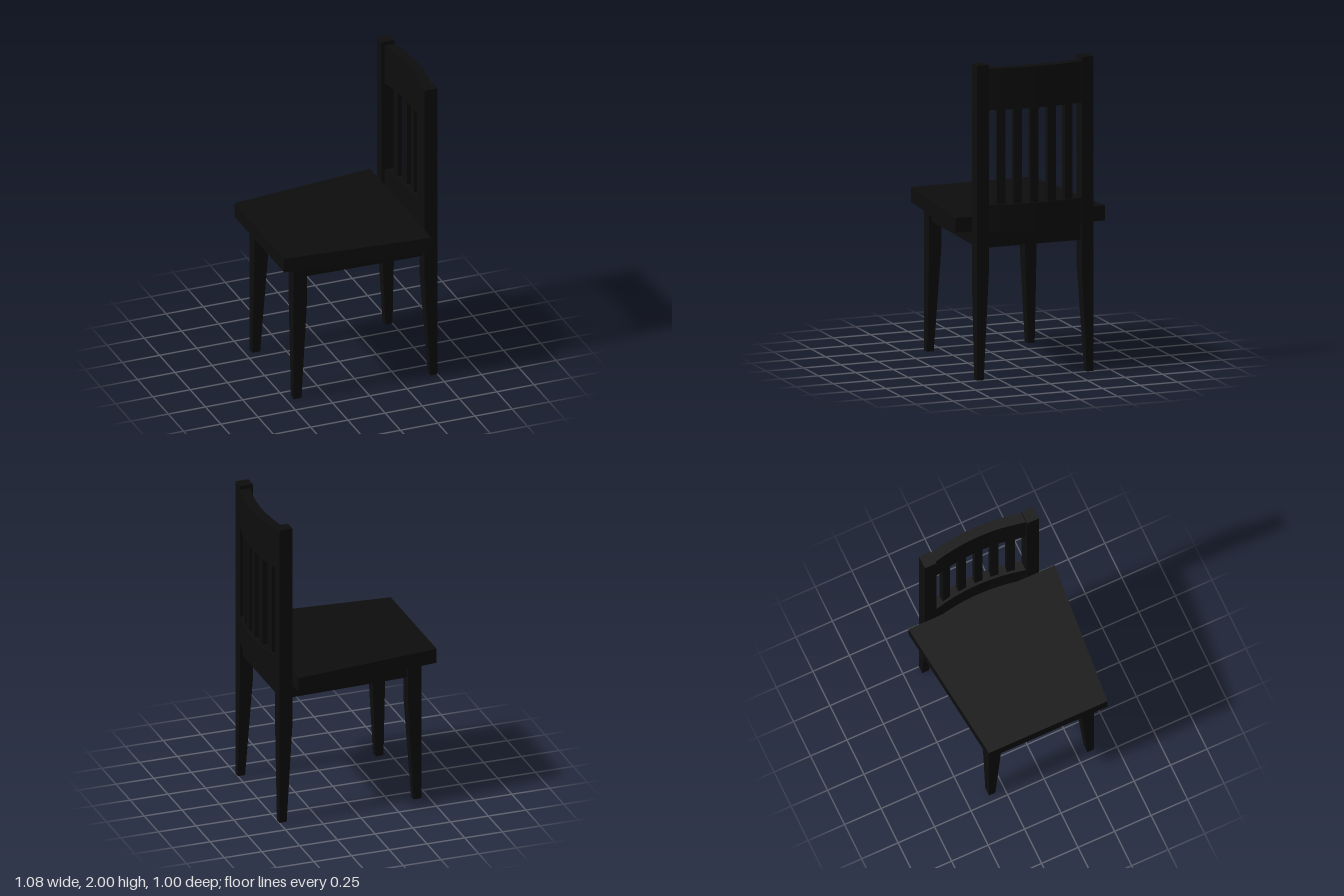
import * as THREE from 'three';

const material = new THREE.MeshStandardMaterial({ color: 0x0d0d0d });

function part(name, geometry) {
  const mesh = new THREE.Mesh(geometry, material);
  mesh.name = name;
  return mesh;
}

// Upright slab from a plan outline of [x, z] points
function slab(plan, y0, y1) {
  const shape = new THREE.Shape(plan.map(([x, z]) => new THREE.Vector2(x, -z)));
  const geometry = new THREE.ExtrudeGeometry(shape, { depth: y1 - y0, bevelEnabled: false });
  geometry.rotateX(-Math.PI / 2);
  geometry.translate(0, y0, 0);
  return geometry;
}

// Square-section post lofted through rectangles [y, xA, xB, zA, zB]
function post(sections) {
  const rings = sections.map(([y, xA, xB, zA, zB]) => {
    const x0 = Math.min(xA, xB), x1 = Math.max(xA, xB);
    const z0 = Math.min(zA, zB), z1 = Math.max(zA, zB);
    return [[x0, y, z0], [x0, y, z1], [x1, y, z1], [x1, y, z0]];
  });
  const pos = [];
  const quad = (a, b, c, d) => pos.push(...a, ...b, ...c, ...a, ...c, ...d);
  for (let r = 0; r + 1 < rings.length; r++) {
    const lo = rings[r], hi = rings[r + 1];
    for (let i = 0; i < 4; i++) {
      const j = (i + 1) % 4;
      quad(lo[i], lo[j], hi[j], hi[i]);
    }
  }
  const foot = rings[0];
  quad(foot[3], foot[2], foot[1], foot[0]);
  quad(...rings[rings.length - 1]);
  const geometry = new THREE.BufferGeometry();
  geometry.setAttribute('position', new THREE.Float32BufferAttribute(pos, 3));
  geometry.computeVertexNormals();
  return geometry;
}

// Rear surface of the bowed backrest at a given z
const bow = (z) => 0.537 - 0.4 * z * z;

function curvedRail(y0, y1) {
  const rear = [], front = [];
  const steps = 8, halfWidth = 0.31, thickness = 0.067;
  for (let i = 0; i <= steps; i++) {
    const z = -halfWidth + (2 * halfWidth * i) / steps;
    rear.push([bow(z), z]);
    front.unshift([bow(z) - thickness, z]);
  }
  return slab([...rear, ...front], y0, y1);
}

export function createModel() {
  const chair = new THREE.Group();
  chair.name = 'chair';

  // Tapering seat board and the apron block beneath it
  chair.add(part('seat', slab(
    [[-0.54, -0.396], [-0.54, 0.416], [0.414, 0.5], [0.414, -0.502]], 0.93, 1.025)));
  chair.add(part('apron', slab(
    [[-0.435, -0.34], [-0.435, 0.345], [0.48, 0.37], [0.48, -0.37]], 0.835, 0.931)));

  // Legs taper on their inner faces; the rear pair rise into back posts
  for (const s of [1, -1]) {
    const o = 0.003;
    chair.add(part('frontLeg', post([
      [0, -0.455, -0.402, s * 0.36 + o, s * 0.315 + o],
      [0.67, -0.455, -0.365, s * 0.36 + o, s * 0.278 + o],
      [0.93, -0.455, -0.365, s * 0.36 + o, s * 0.278 + o],
    ])));
    chair.add(part('backLegAndPost', post([
      [0, 0.452, 0.5, s * 0.39, s * 0.345],
      [0.67, 0.413, 0.5, s * 0.39, s * 0.311],
      [2, 0.413, 0.5, s * 0.39, s * 0.311],
    ])));
  }

  // Bowed rails of the backrest
  chair.add(part('topRail', curvedRail(1.712, 1.975)));
  chair.add(part('lowerRail', curvedRail(0.936, 1.108)));

  // Vertical slats following the bow
  for (const z of [0.226, 0.121, 0.013, -0.103, -0.22]) {
    const slat = part('backSlat', new THREE.BoxGeometry(0.035, 0.64, 0.053));
    slat.position.set(bow(z) - 0.0325, 1.41, z);
    slat.rotation.y = Math.atan(-0.8 * z);
    chair.add(slat);
  }

  return chair;
}
